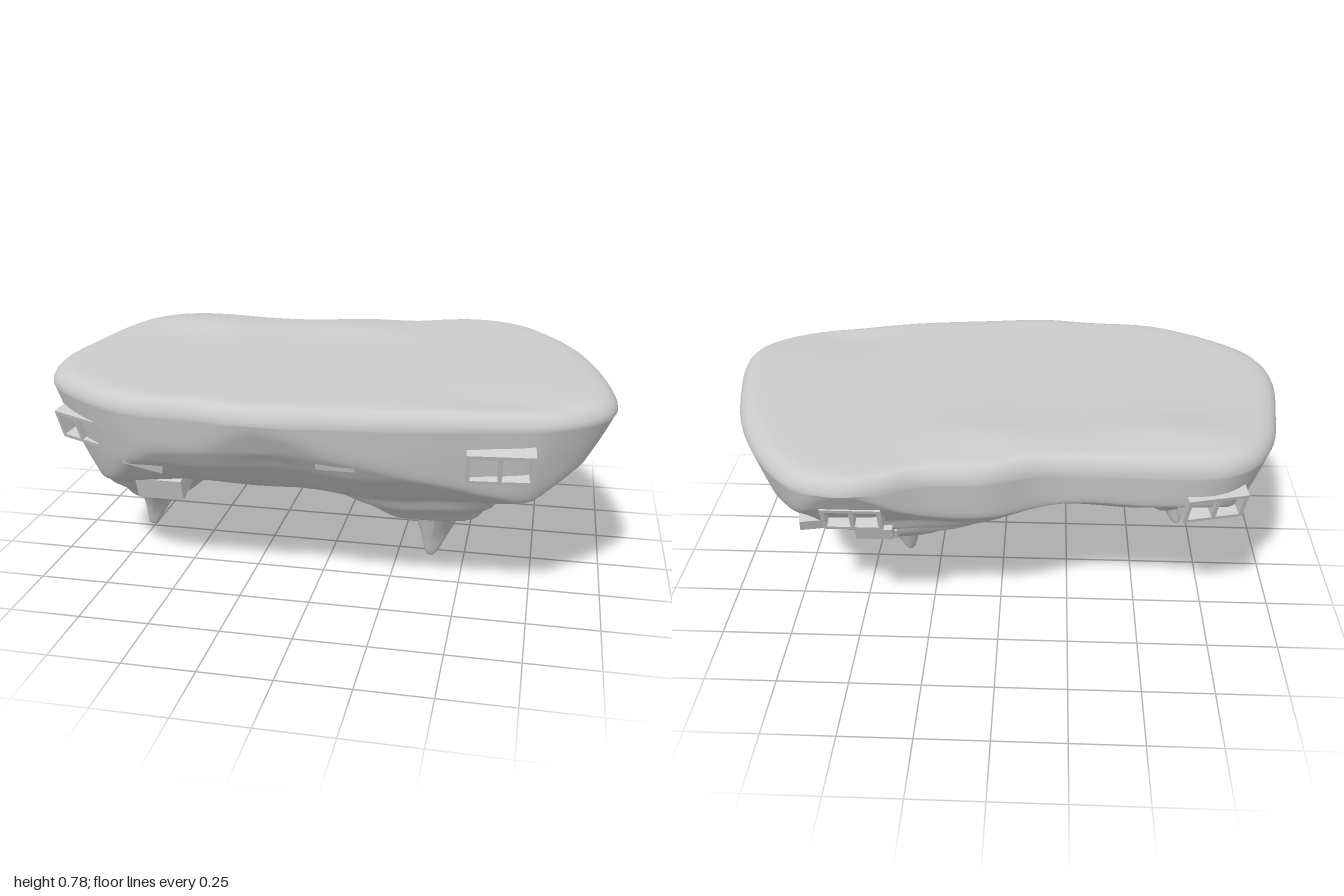
import * as THREE from 'three';

const material = new THREE.MeshStandardMaterial({ color: 0xcccccc });
const doubleMaterial = new THREE.MeshStandardMaterial({ color: 0xcccccc, side: THREE.DoubleSide });

// Plan outline of the island as x, z
const outline = new THREE.CatmullRomCurve3([
  [-1, 0.2], [-0.97, -0.1], [-0.93, -0.28], [-0.85, -0.42], [-0.73, -0.49], [-0.4, -0.5],
  [-0.15, -0.5], [0.03, -0.56], [0.25, -0.585], [0.38, -0.64], [0.5, -0.665], [0.65, -0.62],
  [0.78, -0.48], [0.9, -0.25], [0.97, 0], [1, 0.28], [0.95, 0.39], [0.8, 0.5], [0.6, 0.55],
  [0.35, 0.6], [0.1, 0.63], [-0.15, 0.655], [-0.35, 0.63], [-0.6, 0.605], [-0.8, 0.5], [-0.95, 0.36],
].map(([x, z]) => new THREE.Vector3(x, 0, z)), true);

// Height profiles of the underside: along x, along z, and inward from the rim
const alongX = [[-1, 0.7], [-0.97, 0.58], [-0.92, 0.45], [-0.82, 0.39], [-0.79, 0.29], [-0.76, 0.22],
  [-0.6, 0.21], [-0.5, 0.25], [-0.4, 0.3], [-0.2, 0.33], [-0.1, 0.32], [0, 0.29], [0.12, 0.23],
  [0.2, 0.235], [0.27, 0.2], [0.54, 0.2], [0.6, 0.28], [0.65, 0.38], [0.75, 0.42], [0.9, 0.54], [1, 0.7]];
const alongZ = [[-0.66, 0.7], [-0.6, 0.61], [-0.53, 0.54], [-0.45, 0.47], [-0.42, 0.4], [-0.33, 0.38],
  [-0.305, 0.3], [-0.27, 0.27], [-0.2, 0.21], [0, 0.2], [0.2, 0.21], [0.28, 0.24], [0.38, 0.34],
  [0.45, 0.41], [0.55, 0.51], [0.6, 0.58], [0.66, 0.7]];
const fromRim = [[0, 0.1], [0.8, 0.2], [0.88, 0.38], [0.93, 0.5], [0.97, 0.61], [0.99, 0.67], [1, 0.7]];

// Stepped profiles of the two hanging lobes by distance from their axes
const largeLobe = [[0, 0.19], [0.18, 0.205], [0.22, 0.26], [0.28, 0.3], [0.31, 0.37], [0.4, 0.42], [0.5, 0.52], [0.65, 0.64]];
const smallLobe = [[0, 0.2], [0.1, 0.21], [0.14, 0.27], [0.2, 0.32], [0.23, 0.37], [0.3, 0.4], [0.4, 0.46], [0.7, 0.62]];

function lookup(table, v) {
  if (v <= table[0][0]) return table[0][1];
  for (let i = 1; i < table.length; i++) {
    const [x0, y0] = table[i - 1], [x1, y1] = table[i];
    if (v <= x1) return y0 + (y1 - y0) * (v - x0) / (x1 - x0);
  }
  return table[table.length - 1][1];
}

function softMax(a, b, k = 0.03) {
  const h = Math.max(k - Math.abs(a - b), 0) / k;
  return Math.max(a, b) + h * h * k / 4;
}
const softMin = (a, b) => -softMax(-a, -b, 0.06);

const bump = (x, z, cx, cz, rx, rz) => Math.exp(-(((x - cx) / rx) ** 2) - ((z - cz) / rz) ** 2);

function topHeight(x, z) {
  return 0.76 + 0.025 * bump(x, z, -0.6, -0.33, 0.22, 0.14) + 0.018 * bump(x, z, 0, -0.36, 0.25, 0.14)
    - 0.012 * bump(x, z, 0.65, 0.42, 0.2, 0.12);
}

function underHeight(x, z, s) {
  // two lobes joined by a saddle that climbs towards the back
  const dx = x - 0.4, dz = z - 0.05;
  const large = lookup(largeLobe, Math.hypot(dx * (dx < 0 ? 0.65 : 1), dz * (dz < 0 ? 0.8 : 1)));
  const small = lookup(smallLobe, Math.hypot((x + 0.66) * (x > -0.66 ? 0.85 : 1), z - 0.14));
  const saddle = 0.33 + 0.75 * (z - 0.12) ** 2;
  let y = softMin(softMin(large, small), saddle);
  y = softMax(softMax(y, lookup(alongX, x)), softMax(lookup(alongZ, z), lookup(fromRim, s)));
  // uneven rock, fading out at the rim
  const fade = Math.min(1, (1 - s) * 8);
  y += fade * 0.006 * (Math.sin(13 * x + 5 * z) + Math.sin(11 * z - 7 * x + 1));
  return Math.min(y, 0.7);
}

// Closed skin: rings run from the top centre over the rim to the bottom centre
function islandGeometry() {
  const around = 180, under = 80, rings = [], positions = [], index = [];
  for (let i = 0; i <= 16; i++) rings.push([0.92 * i / 16, topHeight]);
  for (const [s, drop] of [[0.95, 0.005], [0.972, 0.014], [0.988, 0.028], [0.997, 0.044]])
    rings.push([s, (x, z) => topHeight(x, z) - drop]);
  for (let i = 0; i <= under; i++) rings.push([1 - (i / under) ** 1.3, underHeight]);

  const edge = Array.from({ length: around }, (_, i) => outline.getPoint(i / around));
  for (const [s, height] of rings)
    for (const p of edge) positions.push(p.x * s, height(p.x * s, p.z * s, s), p.z * s);
  for (let j = 0; j < rings.length - 1; j++)
    for (let i = 0; i < around; i++) {
      const a = j * around + i, b = j * around + (i + 1) % around;
      index.push(a, b, a + around, b, b + around, a + around);
    }
  const geometry = new THREE.BufferGeometry();
  geometry.setAttribute('position', new THREE.Float32BufferAttribute(positions, 3));
  geometry.setIndex(index);
  geometry.computeVertexNormals();
  return geometry;
}

// Hanging rock spike: a flared lathe whose axis bends from root to tip
function spike(name, tip, root, profile) {
  const geometry = new THREE.LatheGeometry(
    new THREE.SplineCurve(profile.map(([r, y]) => new THREE.Vector2(r, y))).getPoints(24), 24);
  const p = geometry.attributes.position;
  for (let i = 0; i < p.count; i++) {
    const y = p.getY(i), t = y / root.y, a = Math.atan2(p.getZ(i), p.getX(i));
    const rough = 1 + 0.07 * Math.sin(3 * a + y * 20);
    p.setXYZ(i, p.getX(i) * rough + tip.x + (root.x - tip.x) * t, y + tip.y,
      p.getZ(i) * rough + tip.z + (root.z - tip.z) * t);
  }
  geometry.computeVertexNormals();
  const mesh = new THREE.Mesh(geometry, doubleMaterial);
  mesh.name = name;
  return mesh;
}

// Twin-bay window box with recessed openings
function windowBox(name, width, height, x, y, z, yaw, pitch) {
  const group = new THREE.Group(), depth = 0.15, rim = 0.014;
  const w = width / 2, h = height / 2;
  const rect = (Type, x0, x1, y0, y1) => new Type([
    new THREE.Vector2(x0, y0), new THREE.Vector2(x1, y0), new THREE.Vector2(x1, y1), new THREE.Vector2(x0, y1)]);
  const shape = rect(THREE.Shape, -w, w, -h, h);
  shape.holes.push(rect(THREE.Path, -w + rim, -rim / 2, -h + rim, h - rim),
    rect(THREE.Path, rim / 2, w - rim, -h + rim, h - rim));
  const frame = new THREE.Mesh(new THREE.ExtrudeGeometry(shape, { depth, bevelEnabled: false }), material);
  frame.name = 'windowFrame';
  frame.position.z = -depth;
  const back = new THREE.Mesh(new THREE.BoxGeometry(width - 0.01, height - 0.01, 0.02), material);
  back.name = 'windowBack';
  back.position.z = -0.08;
  group.add(frame, back);
  group.name = name;
  group.position.set(x, y, z);
  group.rotation.set(pitch, yaw, 0, 'YXZ');
  return group;
}

export function createModel() {
  const model = new THREE.Group();
  model.name = 'floatingIsland';

  const island = new THREE.Mesh(islandGeometry(), material);
  island.name = 'islandRock';
  model.add(island);

  // Spikes
  model.add(
    spike('largeSpike', new THREE.Vector3(0.375, 0, 0.05), new THREE.Vector3(0.4, 0.25, 0.03),
      [[0, 0], [0.022, 0.02], [0.055, 0.1], [0.095, 0.18], [0.15, 0.25]]),
    spike('smallSpike', new THREE.Vector3(-0.69, 0.09, 0.155), new THREE.Vector3(-0.65, 0.16, 0.17),
      [[0, 0], [0.018, 0.006], [0.035, 0.06], [0.055, 0.11], [0.085, 0.16]]),
  );

  // Windows, tipped so that they look slightly downwards
  model.add(
    windowBox('frontLeftWindow', 0.22, 0.12, 0.64, 0.565, 0.545, 0.1, 0.35),
    windowBox('frontRightWindow', 0.2, 0.11, -0.83, 0.57, 0.455, -0.45, 0.3),
    windowBox('backLeftWindow', 0.2, 0.11, 0.475, 0.565, -0.59, Math.PI, 0.4),
    windowBox('backRightWindow', 0.21, 0.115, -0.73, 0.56, -0.465, Math.PI + 0.25, 0.35),
  );

  // Small stone blocks set into the walls: size, position, rotation
  const blocks = [
    [0.14, 0.05, 0.12, -0.57, 0.51, 0.47, 0.3, 0, -0.25],
    [0.17, 0.085, 0.14, -0.57, 0.355, 0.32, 0.3, 0, 0],
    [0.13, 0.07, 0.1, 0.11, 0.585, 0.54, 0.3, 0, 0],
    [0.12, 0.05, 0.1, 0.64, 0.45, -0.38, -0.4, 0.2, 0.1],
    [0.13, 0.06, 0.1, 0.43, 0.43, -0.4, -0.4, 0, 0],
    [0.08, 0.05, 0.1, 0.41, 0.34, -0.27, -0.4, 0, 0],
  ];
  for (const [w, h, d, x, y, z, rx, ry, rz] of blocks) {
    const block = new THREE.Mesh(new THREE.BoxGeometry(w, h, d), material);
    block.name = 'wallBlock';
    block.position.set(x, y, z);
    block.rotation.set(rx, ry, rz);
    model.add(block);
  }
  return model;
}
